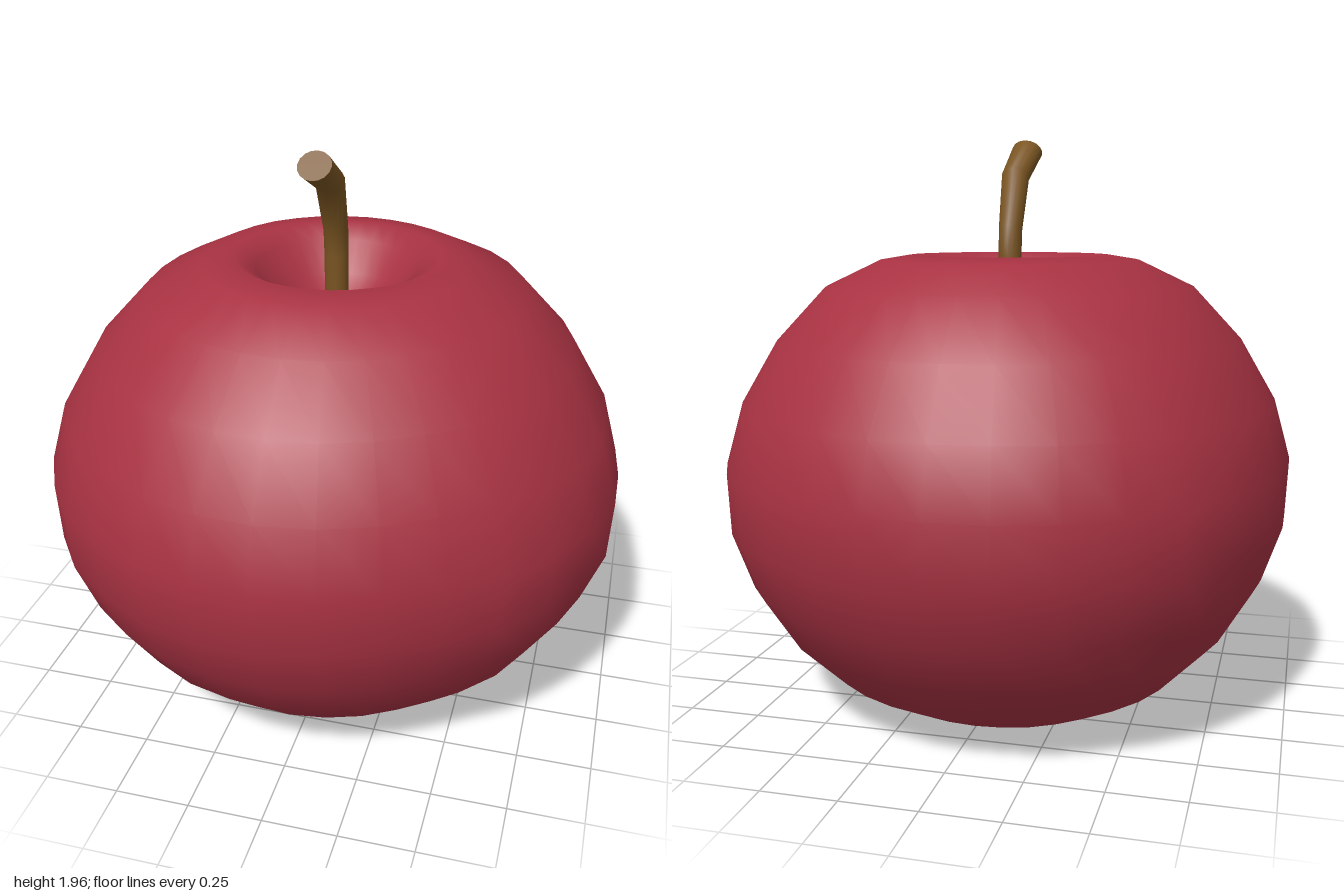
import * as THREE from 'three';
import { mergeVertices } from 'three/addons/utils/BufferGeometryUtils.js';

const SIDES = 32;
const CENTRE_X = -0.015;

// half outline from the bottom dimple, round the belly, into the stem hollow
const PROFILE = [
  [0, 0.12], [0.07, 0.11], [0.14, 0.06], [0.21, 0.015], [0.315, 0], [0.46, 0.03],
  [0.64, 0.125], [0.80, 0.28], [0.915, 0.46], [0.985, 0.65], [0.995, 0.855],
  [0.935, 1.065], [0.81, 1.275], [0.64, 1.455], [0.45, 1.545], [0.345, 1.562],
  [0.27, 1.52], [0.2, 1.42], [0.1, 1.34], [0, 1.32],
];

// gentle lopsidedness of the belly, from the front round through +x
const BULGE = [
  0.995, 0.986, 0.977, 0.97, 0.993, 1.005, 1.004, 1.015, 0.995, 0.993, 0.987,
  0.992, 1, 0.998, 0.997, 1, 1, 1, 1.006, 0.998, 1, 0.983, 0.965, 0.962, 0.97,
  0.99, 1.004, 1.005, 1.015, 1.01, 1.01, 1,
];

// join the seam so that normals run smoothly across it
function smooth(geometry) {
  geometry.deleteAttribute('uv');
  const merged = mergeVertices(geometry, 1e-4);
  merged.computeVertexNormals();
  return merged;
}

function fruitGeometry() {
  const points = PROFILE.map(([r, y]) => new THREE.Vector2(r, y));
  const geometry = new THREE.LatheGeometry(points, SIDES);
  const pos = geometry.attributes.position;
  for (let i = 0; i < pos.count; i++) {
    const side = Math.floor(i / PROFILE.length) % SIDES;
    const radius = PROFILE[i % PROFILE.length][0];
    const scale = 1 + (BULGE[side] - 1) * radius;
    pos.setX(i, pos.getX(i) * scale);
    pos.setZ(i, pos.getZ(i) * scale);
  }
  geometry.deleteAttribute('normal');
  return smooth(geometry);
}

// stem rings: y, z, radius, forward lean in radians
const STEM = [
  [1.30, 0, 0.04, 0],
  [1.56, 0.006, 0.04, 0.04],
  [1.65, 0.013, 0.041, 0.2],
  [1.828, 0.082, 0.048, 0.66],
  [1.925, 0.26, 0.054, 0.74],
];

function stemGeometry() {
  const last = STEM.length - 1;
  const geometry = new THREE.CylinderGeometry(1, 1, 1, 16, last);
  const joined = mergeVertices(geometry.deleteAttribute('uv'), 1e-4);
  const pos = joined.attributes.position;
  for (let i = 0; i < pos.count; i++) {
    const [y, z, r, lean] = STEM[Math.round((pos.getY(i) + 0.5) * last)];
    const depth = pos.getZ(i) * r;
    pos.setXYZ(i, pos.getX(i) * r, y - depth * Math.sin(lean), z + depth * Math.cos(lean));
  }
  joined.computeVertexNormals();
  return joined;
}

export function createModel() {
  const red = new THREE.MeshStandardMaterial({ color: 0xa83242 });
  red.name = 'red skin';
  const brown = new THREE.MeshStandardMaterial({ color: 0x7a5522 });
  brown.name = 'brown wood';

  const fruit = new THREE.Mesh(fruitGeometry(), red);
  fruit.name = 'fruit';
  const stem = new THREE.Mesh(stemGeometry(), brown);
  stem.name = 'stem';

  const group = new THREE.Group();
  group.name = 'apple';
  group.add(fruit, stem);
  group.children.forEach((part) => { part.position.x = CENTRE_X; });
  return group;
}
